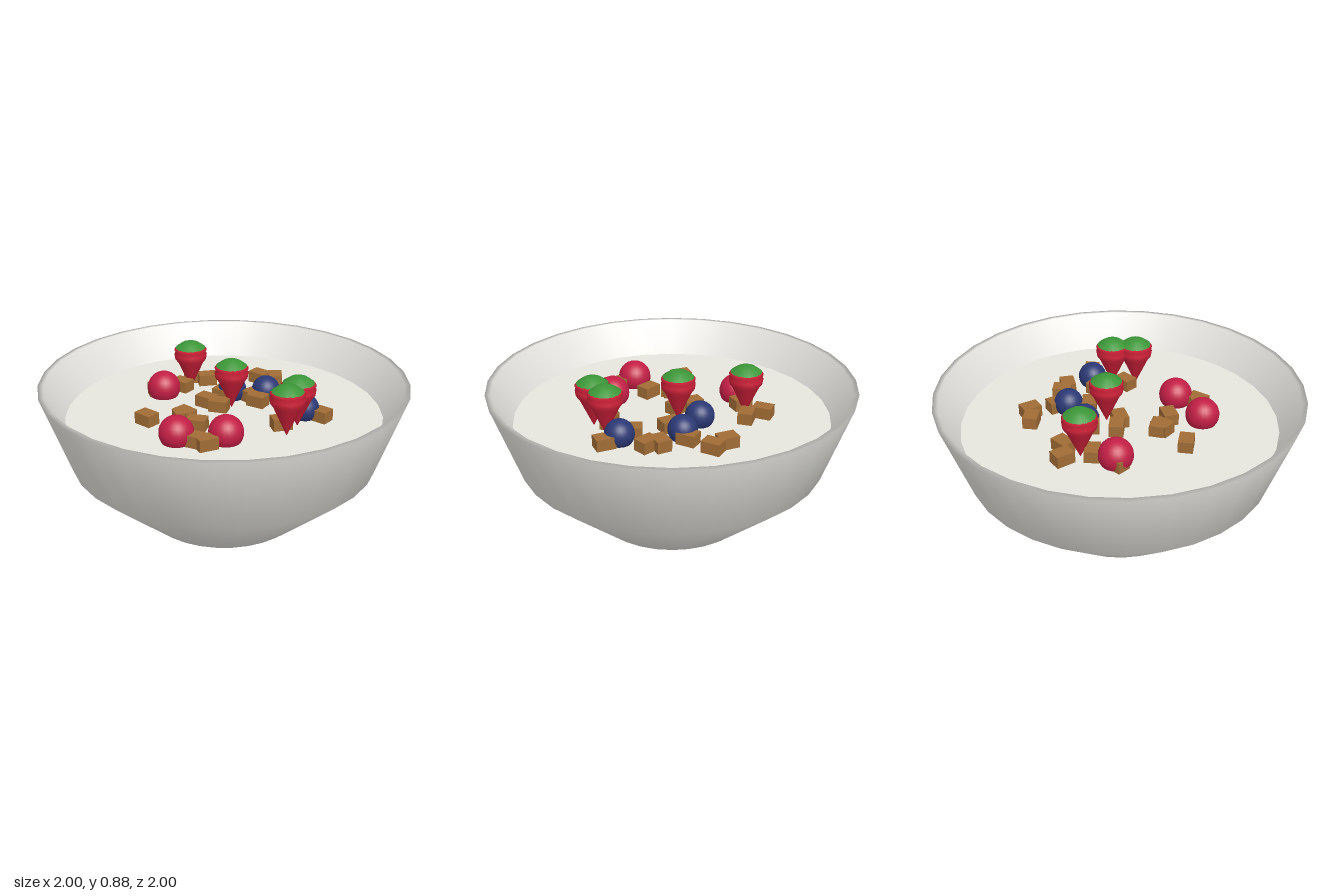
import * as THREE from 'three';

const mat = (name, color) => {
  const m = new THREE.MeshStandardMaterial({ color });
  m.name = name;
  return m;
};
const lathe = (pts, seg) =>
  new THREE.LatheGeometry(pts.map(([x, y]) => new THREE.Vector2(x, y)), seg);

export function createModel() {
  const group = new THREE.Group();
  const ceramic = mat('ceramic', 0xf0efea);
  const cream = mat('yogurt cream', 0xf0eee6);
  const crimson = mat('raspberry crimson', 0xc21e45);
  const red = mat('strawberry red', 0xce2038);
  const green = mat('leaf green', 0x3c9638);
  const blue = mat('blueberry blue', 0x2b3874);
  const brown = mat('granola brown', 0xa06c35);

  const add = (name, geo, material, x = 0, y = 0, z = 0, turn = 0) => {
    const mesh = new THREE.Mesh(geo, material);
    mesh.name = name;
    mesh.position.set(x, y, z);
    mesh.rotation.y = THREE.MathUtils.degToRad(turn);
    group.add(mesh);
  };

  // Bowl: outer wall, rim and inner wall in one profile
  add('bowl', lathe([
    [0, 0], [0.45, 0], [0.85, 0.36], [1, 0.8], [0.97, 0.8], [0.855, 0.57],
  ], 32), ceramic);

  // Yogurt surface
  add('yogurt', new THREE.CylinderGeometry(0.87, 0.86, 0.03, 32), cream, 0, 0.59, 0);

  // Whole round berries
  const raspberry = new THREE.SphereGeometry(0.093, 24, 16);
  for (const [x, z] of [[-0.395, 0.12], [0.295, 0.23], [0.137, 0.43]])
    add('raspberry', raspberry, crimson, x, 0.655, z);

  const blueberry = new THREE.SphereGeometry(0.08, 24, 16);
  for (const [x, z] of [[0.005, -0.305], [-0.12, -0.16], [0.335, -0.29]])
    add('blueberry', blueberry, blue, x, 0.655, z);

  // Strawberries: pointed body with two ridges, and a low leaf cap
  const body = lathe([
    [0, 0.6], [0.075, 0.765], [0.09, 0.785], [0.094, 0.812],
    [0.084, 0.826], [0.094, 0.838], [0.084, 0.851], [0, 0.851],
  ], 20);
  const cap = lathe([[0.086, 0.85], [0.05, 0.876], [0.025, 0.885], [0, 0.885]], 16);
  for (const [x, z] of [[-0.395, -0.075], [-0.02, -0.07], [0.39, -0.185], [0.44, -0.06]]) {
    add('strawberryBody', body, red, x, 0, z);
    add('strawberryLeaf', cap, green, x, 0, z);
  }

  // Granola chunks: x, z, turn in degrees
  const chunk = new THREE.BoxGeometry(0.105, 0.07, 0.08);
  for (const [x, z, turn] of [
    [-0.2, -0.44, 12], [-0.115, -0.485, -40], [0.14, -0.4, -75], [0.21, -0.395, 32],
    [-0.01, -0.37, -40], [0.42, -0.33, 12], [0.26, -0.235, -12], [0.055, -0.2, 18],
    [0, -0.21, 0], [-0.48, -0.14, -35], [-0.375, -0.18, 62], [-0.14, -0.11, 20],
    [-0.12, 0.025, 15], [-0.03, 0.01, 35], [0.36, -0.095, 65], [-0.43, 0.14, 65],
    [-0.39, -0.01, 15], [-0.045, 0.235, 5], [-0.035, 0.255, 70], [0.085, 0.255, 35],
    [-0.14, 0.42, 10], [0.295, 0.36, 75], [0.235, 0.385, 25], [0.3, 0.2, 40],
  ]) add('granola', chunk, brown, x, 0.635, z, turn);

  return group;
}
